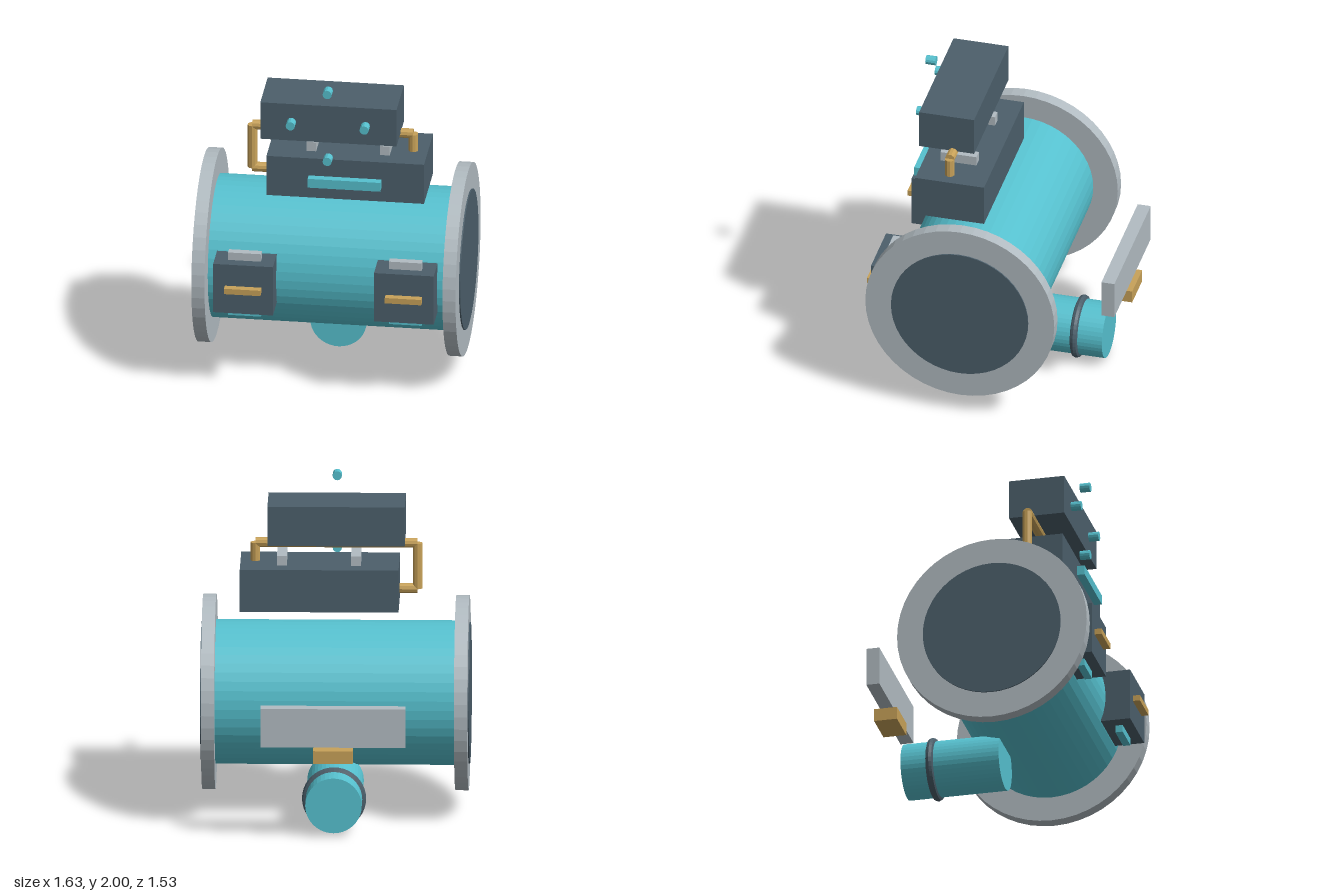
import * as THREE from 'three';

const paint = (name, color) => {
  const m = new THREE.MeshStandardMaterial({ color });
  m.name = name;
  return m;
};

export function createModel() {
  const teal = paint('teal', 0x56c1cf);
  const slate = paint('slate', 0x4c5f6b);
  const silver = paint('silver', 0xb2bcc2);
  const brass = paint('brass', 0xc8a259);

  const model = new THREE.Group();
  model.name = 'tankAssembly';

  const add = (name, geometry, material, parent = model) => {
    const mesh = new THREE.Mesh(geometry, material);
    mesh.name = name;
    parent.add(mesh);
    return mesh;
  };

  // Box given by its minimum and maximum on each axis
  const box = (name, material, [x0, x1], [y0, y1], [z0, z1], parent) => {
    const g = new THREE.BoxGeometry(x1 - x0, y1 - y0, z1 - z0);
    g.translate((x0 + x1) / 2, (y0 + y1) / 2, (z0 + z1) / 2);
    return add(name, g, material, parent);
  };

  // Faceted cylinder running between two points
  const rod = (name, material, from, to, radius, sides, parent) => {
    const a = new THREE.Vector3(...from), b = new THREE.Vector3(...to);
    const dir = b.clone().sub(a);
    const g = new THREE.CylinderGeometry(radius, radius, dir.length(), sides).toNonIndexed();
    g.computeVertexNormals();
    const mesh = add(name, g, material, parent);
    mesh.position.copy(a).add(b).multiplyScalar(0.5);
    mesh.quaternion.setFromUnitVectors(new THREE.Vector3(0, 1, 0), dir.normalize());
    return mesh;
  };

  // Main tank with end flanges and cover discs
  const Y = 0.718, Z = 0.133;
  rod('tankBody', teal, [-0.76, Y, Z], [0.76, Y, Z], 0.437, 48);
  for (const s of [-1, 1]) {
    rod('flange', silver, [s * 0.725, Y, Z], [s * 0.805, Y, Z], 0.59, 48);
    rod('endCover', slate, [s * 0.79, Y, Z], [s * 0.813, Y, Z], 0.428, 48);
  }

  // Rear outlet pipe with a collar
  rod('outlet', teal, [0, 0.197, 0.02], [0, 0.197, -0.59], 0.171, 40);
  const ring = new THREE.TorusGeometry(0.17, 0.024, 8, 40).toNonIndexed();
  ring.computeVertexNormals();
  add('outletCollar', ring, slate).position.set(0, 0.197, -0.412);

  // Stacked control boxes on top
  box('lowerBox', slate, [-0.38, 0.58], [1.24, 1.503], [0.04, 0.47]);
  box('upperBox', slate, [-0.415, 0.415], [1.625, 1.87], [0.145, 0.488]);
  box('frontBar', teal, [-0.12, 0.323], [1.341, 1.4], [0.495, 0.543]);
  for (const x of [-0.12, 0.328])
    box('spacer', silver, [x - 0.03, x + 0.03], [1.49, 1.563], [0.145, 0.37]);

  // Diamond of round studs at the front
  for (const [x, y] of [[0, 1.975], [0, 1.525], [-0.225, 1.75], [0.225, 1.75]])
    rod('stud', teal, [x, y, 0.488], [x, y, 0.55], 0.028, 12);

  // Bent line linking the two boxes
  const line = new THREE.Group();
  line.name = 'linkPipe';
  model.add(line);
  const path = [[-0.36, 1.332], [-0.49, 1.332], [-0.49, 1.615], [0.49, 1.615], [0.49, 1.332]];
  for (let i = 1; i < path.length; i++)
    rod('pipeRun', brass, [...path[i - 1], 0.277], [...path[i], 0.277], 0.03, 10, line);

  // Pair of front latch boxes with tabs and handles
  for (const x of [-0.49, 0.49]) {
    const latch = new THREE.Group();
    latch.name = 'latch';
    model.add(latch);
    const span = (h) => [x - h, x + h];
    box('latchBox', slate, span(0.182), [0.555, 0.88], [0.54, 0.722], latch);
    box('upperTab', silver, span(0.1), [0.87, 0.93], [0.61, 0.656], latch);
    box('lowerTab', teal, span(0.1), [0.51, 0.565], [0.61, 0.656], latch);
    box('handle', brass, span(0.111), [0.702, 0.738], [0.715, 0.766], latch);
  }

  // Rear plate and the block below it
  box('rearPlate', silver, [-0.438, 0.438], [0.6, 0.84], [-0.737, -0.656]);
  box('rearBlock', brass, [-0.12, 0.12], [0.506, 0.585], [-0.766, -0.624]);

  return model;
}
